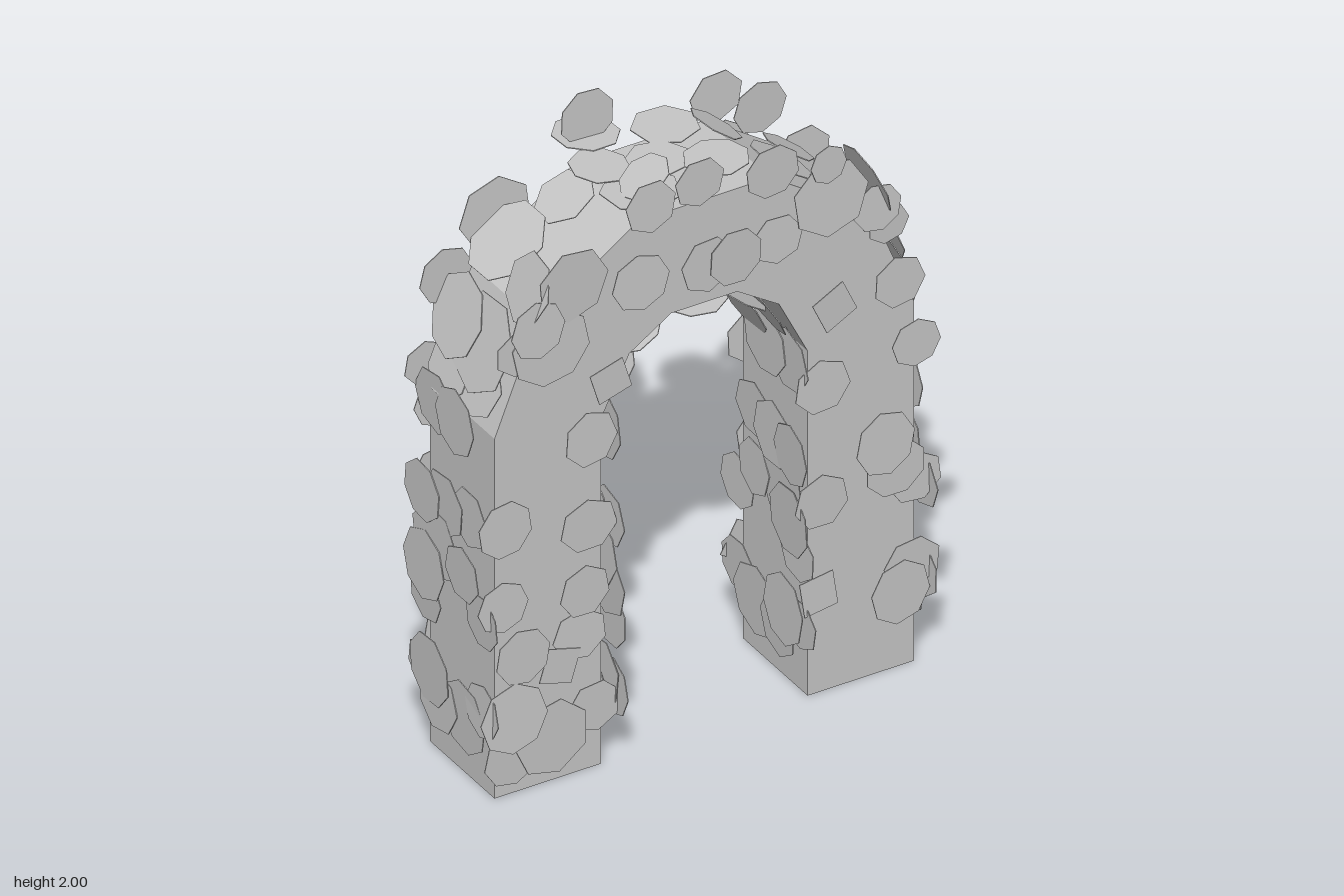
import * as THREE from 'three';

const FRONT = 0.22, BACK = -0.135;

export function createModel() {
  const arch = new THREE.Group();
  arch.name = 'stoneArch';
  const stone = new THREE.MeshStandardMaterial({ color: 0xc6c6c6, flatShading: true });
  stone.name = 'grey stone';

  // Right half of the outer and inner outlines, from the ground to the crown
  const outer = [[0.70, 0], [0.70, 1.22], [0.56, 1.57], [0.22, 1.80]];
  const inner = [[0.345, 0], [0.345, 1.17], [0.25, 1.36], [0.11, 1.45]];
  const flip = (pts) => pts.map(([x, y]) => [-x, y]);
  const outline = [...outer, ...flip(outer).reverse(), ...flip(inner), ...[...inner].reverse()];

  // Solid core of the arch
  const coreGeometry = new THREE.ExtrudeGeometry(
    new THREE.Shape(outline.map(([x, y]) => new THREE.Vector2(x, y))),
    { depth: FRONT - BACK, bevelEnabled: false });
  coreGeometry.translate(0, 0, BACK);
  const core = new THREE.Mesh(coreGeometry, stone);
  core.name = 'archCore';
  arch.add(core);

  // Thin, very slightly tilted facing stone with an irregular edge
  let count = 0;
  const forward = new THREE.Vector3(0, 0, 1), backward = new THREE.Vector3(0, 0, -1);
  function facingStone(parent, x, y, z, normal, r, sides) {
    const i = count++;
    const g = new THREE.CylinderGeometry(r, r, 0.003, sides || 7 + (i % 2));
    g.rotateX(Math.PI / 2);
    g.rotateZ(i * 1.3);
    g.scale(1, 0.94 + 0.04 * (i % 4), 1);
    g.rotateX(0.03 * Math.sin(i * 2.1));
    g.rotateY(0.03 * Math.cos(i * 1.7));
    const m = new THREE.Mesh(g, stone);
    m.name = 'facingStone';
    m.quaternion.setFromUnitVectors(forward, normal);
    m.position.set(x, y, z).addScaledVector(normal, 0.024 + 0.006 * (i % 4));
    parent.add(m);
  }
  function group(name) {
    const g = new THREE.Group();
    g.name = name;
    arch.add(g);
    return g;
  }

  // Stones on the front: x, y, radius, sides
  const frontStones = [
    [-0.03, 1.88, 0.085], [0.21, 1.84, 0.09], [0.40, 1.69, 0.125], [0.39, 1.81, 0.06],
    [0.60, 1.53, 0.07], [0.56, 1.60, 0.08],
    [0.63, 1.33, 0.085], [0.41, 1.32, 0.08, 4], [0.38, 1.05, 0.095], [0.69, 1.10, 0.08],
    [0.37, 0.67, 0.09], [0.58, 0.80, 0.10], [0.69, 0.64, 0.09], [0.62, 0.70, 0.10],
    [0.36, 0.36, 0.08, 4], [0.63, 0.28, 0.10], [0.68, 0.35, 0.095], [-0.23, 1.61, 0.095],
    [-0.01, 1.60, 0.09], [0.08, 1.60, 0.09], [0.23, 1.60, 0.085], [-0.53, 1.49, 0.13],
    [-0.46, 1.68, 0.12], [-0.58, 1.57, 0.09], [-0.63, 1.50, 0.08], [-0.33, 1.31, 0.08, 4],
    [-0.40, 1.14, 0.09], [-0.69, 0.93, 0.09], [-0.40, 0.84, 0.095], [-0.69, 0.66, 0.085],
    [-0.42, 0.63, 0.085], [-0.63, 0.48, 0.09], [-0.43, 0.48, 0.09], [-0.50, 0.40, 0.08, 4],
    [-0.53, 0.17, 0.125], [-0.66, 0.28, 0.11], [-0.38, 0.22, 0.09], [-0.66, 0.14, 0.095],
    [-0.20, 1.86, 0.085]];
  // Stones on the back
  const backStones = [
    [-0.15, 1.91, 0.09], [0.27, 1.85, 0.09], [0.42, 1.76, 0.09], [0.57, 1.55, 0.09],
    [0.30, 1.64, 0.10], [0.06, 1.62, 0.095], [-0.18, 1.62, 0.095], [-0.46, 1.69, 0.12],
    [-0.62, 1.53, 0.09], [-0.40, 1.48, 0.10], [0.50, 1.45, 0.10], [-0.69, 1.26, 0.075],
    [0.43, 1.24, 0.09], [0.69, 1.12, 0.08], [0.64, 0.88, 0.09], [0.40, 0.99, 0.09],
    [0.64, 0.54, 0.09], [0.69, 0.66, 0.08], [0.43, 0.66, 0.09], [0.60, 0.30, 0.095],
    [0.37, 0.30, 0.08, 4], [-0.46, 1.18, 0.09], [-0.65, 1.12, 0.085], [-0.65, 0.88, 0.09],
    [-0.43, 0.92, 0.09], [-0.41, 0.60, 0.09], [-0.66, 0.58, 0.09], [-0.64, 0.33, 0.08, 4],
    [-0.46, 0.15, 0.10], [-0.36, 0.22, 0.08]];
  const frontFacing = group('frontFacing'), backFacing = group('backFacing');
  frontStones.forEach(([x, y, r, n]) => facingStone(frontFacing, x, y, FRONT, forward, r, n));
  backStones.forEach(([x, y, r, n]) => facingStone(backFacing, x, y, BACK, backward, r, n));

  // Stones along one edge of the outline: fraction along the edge, z, radius
  function faceEdge(name, a, b, out, stones) {
    const parent = group(name);
    const normal = new THREE.Vector3((b[1] - a[1]) * out, (a[0] - b[0]) * out, 0).normalize();
    stones.forEach(([t, z, r]) => facingStone(parent,
      a[0] + (b[0] - a[0]) * t, a[1] + (b[1] - a[1]) * t, z, normal, r));
  }

  const legStones = [
    [0.98, -0.07, 0.11], [0.98, 0.05, 0.11], [0.73, 0.00, 0.105], [0.72, -0.11, 0.095],
    [0.74, 0.12, 0.10], [0.49, 0.20, 0.09], [0.60, -0.05, 0.12], [0.52, -0.10, 0.11],
    [0.42, -0.12, 0.09], [0.18, 0.10, 0.12], [0.17, -0.03, 0.10], [0.24, -0.07, 0.11],
    [0.22, -0.13, 0.09], [0.24, 0.20, 0.09], [0.58, 0.10, 0.09]];
  const innerLegStones = legStones.map(([t, z, r]) => [t * 0.97, 0.085 - z, r]);
  const haunchStones = [
    [0.60, 0.07, 0.15], [0.65, -0.07, 0.125], [0.30, 0.10, 0.11], [0.25, -0.04, 0.10],
    [1.22, 0.18, 0.11]];

  for (const side of [1, -1]) {
    const label = side > 0 ? 'left' : 'right';
    const o = side > 0 ? outer : flip(outer);
    const n = side > 0 ? inner : flip(inner);
    faceEdge(label + 'OuterLegFacing', o[0], o[1], side, legStones);
    faceEdge(label + 'InnerLegFacing', n[0], n[1], -side, innerLegStones);
    faceEdge(label + 'HaunchFacing', o[1], o[2], side, haunchStones);
    faceEdge(label + 'SlopeFacing', o[2], o[3], side, side > 0
      ? [[0.36, -0.06, 0.09], [0.75, 0.11, 0.105], [1.20, 0.00, 0.085]]
      : [[0.28, -0.06, 0.13], [0.78, -0.04, 0.10], [1.25, 0.14, 0.085]]);
    faceEdge(label + 'InnerHaunchFacing', n[1], n[2], -side,
      [[0.30, -0.02, 0.10], [0.65, 0.12, 0.095], [0.70, -0.08, 0.09]]);
    faceEdge(label + 'InnerSlopeFacing', n[2], n[3], -side,
      [[0.40, 0.13, 0.09], [0.50, -0.06, 0.09]]);
  }

  // Crown and underside of the arch
  faceEdge('crownFacing', outer[3], [-0.22, 1.80], 1, [
    [0.82, -0.20, 0.10], [0.30, -0.14, 0.105], [0.23, 0.09, 0.10], [0.86, 0.13, 0.12],
    [0.95, -0.03, 0.09], [0.55, 0.00, 0.10]]);
  faceEdge('undersideFacing', inner[3], [-0.11, 1.45], -1, [
    [0.30, -0.15, 0.09], [0.70, -0.04, 0.09], [0.40, 0.12, 0.10]]);

  return arch;
}
